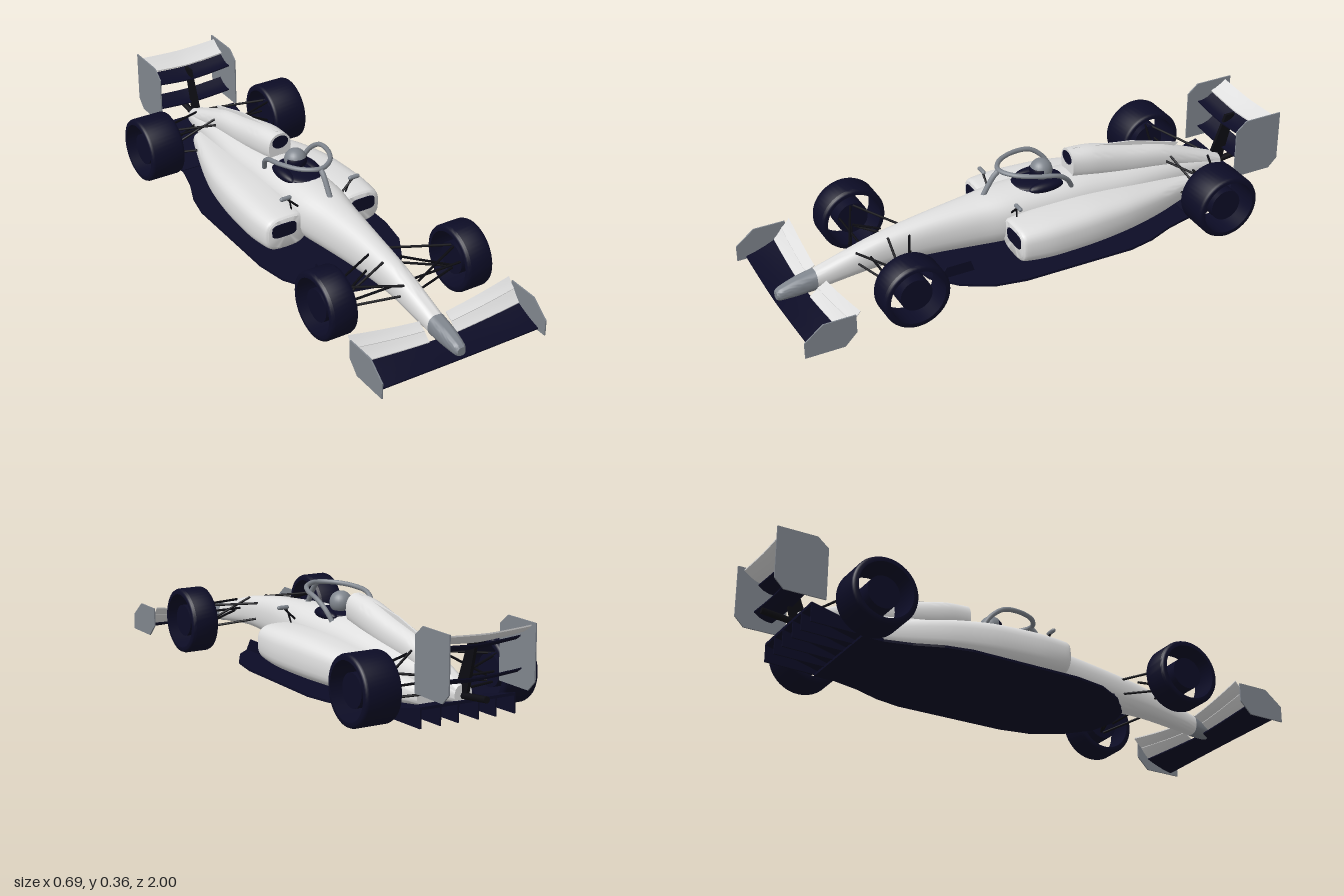
import * as THREE from 'three';
import { toCreasedNormals } from 'three/addons/utils/BufferGeometryUtils.js';

const V = (x, y, z) => new THREE.Vector3(x, y, z);
const mat = (name, color) => new THREE.MeshStandardMaterial({ name, color });

// Skin a list of closed rings, cap both ends and face outward
function skin(rings, crease = 0.6) {
  const n = rings[0].length, pos = [], idx = [];
  const add = (p) => pos.push(p.x, p.y, p.z) / 3 - 1;
  rings.forEach((r) => r.forEach(add));
  for (let i = 0; i < rings.length - 1; i++) for (let j = 0; j < n; j++) {
    const a = i * n + j, b = i * n + (j + 1) % n;
    idx.push(a, b, a + n, b, b + n, a + n);
  }
  [0, rings.length - 1].forEach((i) => {
    const c = add(rings[i].reduce((s, p) => s.add(p), V(0, 0, 0)).divideScalar(n));
    for (let j = 0; j < n; j++) {
      const a = i * n + j, b = i * n + (j + 1) % n;
      i ? idx.push(a, b, c) : idx.push(b, a, c);
    }
  });
  let vol = 0;
  const at = (i) => V(pos[3 * i], pos[3 * i + 1], pos[3 * i + 2]);
  for (let k = 0; k < idx.length; k += 3) vol += at(idx[k]).dot(at(idx[k + 1]).cross(at(idx[k + 2])));
  if (vol < 0) idx.reverse();
  const g = new THREE.BufferGeometry();
  g.setAttribute('position', new THREE.Float32BufferAttribute(pos, 3));
  g.setIndex(idx);
  return toCreasedNormals(g, crease);
}

// Smooth hull through sections [z, centreX, halfWidth, bottomY, topY]
function hull(sections, power = 2.5, steps = 30, sides = 32) {
  const c1 = new THREE.CatmullRomCurve3(sections.map((s) => V(s[0], s[1], s[2])), false, 'catmullrom', 0.4);
  const c2 = new THREE.CatmullRomCurve3(sections.map((s) => V(s[0], s[3], s[4])), false, 'catmullrom', 0.4);
  const se = (v) => Math.sign(v) * Math.abs(v) ** (2 / power);
  const rings = [];
  for (let i = 0; i <= steps; i++) {
    const p = c1.getPoint(i / steps), q = c2.getPoint(i / steps), ring = [];
    for (let j = 0; j < sides; j++) {
      const a = j / sides * Math.PI * 2;
      ring.push(V(p.y + p.z * se(Math.cos(a)), (q.y + q.z) / 2 + (q.z - q.y) / 2 * se(Math.sin(a)), p.x));
    }
    rings.push(ring);
  }
  return skin(rings);
}

// Wing blade from x0 to x1; inner and outer are [frontZ, frontY, rearZ, rearY], blended by |x| / span
function blade(x0, x1, span, inner, outer, sag = 0.004, thick = 0.005) {
  const rings = [];
  for (let i = 0; i <= 12; i++) {
    const x = x0 + (x1 - x0) * i / 12, t = (Math.abs(x) / span) ** 1.4;
    const [fz, fy, rz, ry] = inner.map((v, k) => v + (outer[k] - v) * t);
    const low = [0, 0.33, 0.67, 1].map((u) =>
      V(x, fy + (ry - fy) * u - sag * Math.sin(Math.PI * u), fz + (rz - fz) * u));
    rings.push([...low, ...low.map((p) => V(p.x, p.y + thick, p.z)).reverse()]);
  }
  return skin(rings);
}

// Flat plate with a side outline of [z, y] points, centred on x
function plate(points, width, x) {
  const s = new THREE.Shape(points.map((p) => new THREE.Vector2(...p)));
  return new THREE.ExtrudeGeometry(s, { depth: width, bevelEnabled: false })
    .rotateY(-Math.PI / 2).translate(x + width / 2, 0, 0);
}

function rod(a, b, r = 0.005) {
  const d = b.clone().sub(a);
  return new THREE.CylinderGeometry(r, r, d.length(), 8)
    .applyQuaternion(new THREE.Quaternion().setFromUnitVectors(V(0, 1, 0), d.normalize()))
    .translate((a.x + b.x) / 2, (a.y + b.y) / 2, (a.z + b.z) / 2);
}

export function createModel() {
  const car = new THREE.Group();
  car.name = 'racingCar';
  const white = mat('bodyWhite', 0xdedede), grey = mat('trimGrey', 0x80868e);
  const navy = mat('darkNavy', 0x0c0c26), black = mat('suspensionBlack', 0x0c0c12);
  const add = (name, geo, m) => {
    const mesh = new THREE.Mesh(geo, m);
    mesh.name = name;
    car.add(mesh);
    return mesh;
  };

  // Central body, nose tip and engine cover
  add('body', hull([[0.83, 0, 0.034, 0.05, 0.124], [0.6, 0, 0.045, 0.073, 0.19], [0.4, 0, 0.06, 0.068, 0.222],
    [0.22, 0, 0.083, 0.055, 0.24], [0.1, 0, 0.104, 0.05, 0.249], [-0.1, 0, 0.112, 0.045, 0.25],
    [-0.22, 0, 0.11, 0.045, 0.245], [-0.4, 0, 0.1, 0.045, 0.22], [-0.6, 0, 0.07, 0.045, 0.19],
    [-0.84, 0, 0.035, 0.08, 0.14]], 2.4, 45), white);
  add('noseTip', hull([[0.975, 0, 0.016, 0.048, 0.08], [0.96, 0, 0.023, 0.044, 0.09], [0.9, 0, 0.031, 0.045, 0.11],
    [0.829, 0, 0.035, 0.049, 0.125]], 2.6, 12), grey);
  add('engineCover', hull([[-0.18, 0, 0.047, 0.22, 0.336], [-0.28, 0, 0.055, 0.2, 0.326], [-0.43, 0, 0.052, 0.17, 0.288],
    [-0.58, 0, 0.046, 0.15, 0.252], [-0.72, 0, 0.04, 0.12, 0.195], [-0.84, 0, 0.033, 0.09, 0.145]], 2.3), white);
  add('spineFin', plate([[-0.2, 0.3], [-0.2, 0.337], [-0.45, 0.3], [-0.66, 0.238], [-0.6, 0.2]], 0.006, 0), white);
  add('airIntake', new THREE.CircleGeometry(1, 24).scale(0.034, 0.026, 1).translate(0, 0.302, -0.178), navy);
  add('tailPipe', rod(V(0, 0.105, -0.82), V(0, 0.122, -0.97), 0.012), black);

  // Cockpit opening and driver
  add('cockpit', new THREE.SphereGeometry(1, 32, 16).scale(0.072, 0.016, 0.105).translate(0, 0.243, -0.05), navy);
  add('helmet', new THREE.SphereGeometry(0.042, 24, 18).translate(0, 0.283, -0.07), grey);
  add('visor', new THREE.SphereGeometry(0.0435, 24, 6, 0.25, Math.PI - 0.5, 1.22, 0.72).translate(0, 0.283, -0.07), navy);

  // Halo
  const half = [[0.085, 0.235, -0.15], [0.098, 0.275, -0.125], [0.108, 0.308, -0.08], [0.1, 0.32, -0.01], [0.06, 0.326, 0.07]];
  const arc = [...half, [0, 0.328, 0.105], ...half.slice().reverse().map(([x, y, z]) => [-x, y, z])].map((p) => V(...p));
  add('haloRing', new THREE.TubeGeometry(new THREE.CatmullRomCurve3(arc), 60, 0.009, 10), grey);
  const pillar = new THREE.CatmullRomCurve3([V(0, 0.328, 0.1), V(0, 0.305, 0.125), V(0, 0.235, 0.17)]);
  add('haloPillar', new THREE.TubeGeometry(pillar, 16, 0.01, 10), grey);

  // Floor and diffuser
  const edge = [[0.1, 0.435], [0.19, 0.355], [0.25, 0.25], [0.272, 0.13], [0.275, -0.3], [0.255, -0.4], [0.215, -0.5], [0.19, -0.6], [0.19, -0.68]];
  const floor = new THREE.Shape([[0, 0.46], ...edge, ...edge.slice().reverse().map(([x, z]) => [-x, z])]
    .map((p) => new THREE.Vector2(...p)));
  add('floor', new THREE.ExtrudeGeometry(floor, { depth: 0.009, bevelEnabled: false }).rotateX(Math.PI / 2).translate(0, 0.027, 0), navy);
  add('diffuserRoof', plate([[-0.6, 0.02], [-0.6, 0.03], [-0.75, 0.07], [-0.87, 0.1], [-0.87, 0.09], [-0.75, 0.06]], 0.38, 0), navy);
  for (const x of [-0.187, -0.11, -0.04, 0.04, 0.11, 0.187])
    add('diffuserFin', plate([[-0.62, 0.022], [-0.62, 0.035], [-0.87, 0.1], [-0.87, 0.028]], 0.006, x), navy);

  // Front wing main plane
  add('frontWingMain', blade(-0.33, 0.33, 0.33, [0.98, 0.037, 0.868, 0.052], [0.966, 0.026, 0.857, 0.064]), navy);

  // Rear wing main plane, flap, beam wing and pylon
  add('rearWingMain', blade(-0.166, 0.166, 0.166, [-0.855, 0.266, -0.92, 0.292], [-0.855, 0.28, -0.92, 0.302], 0.008), navy);
  add('rearWingFlap', blade(-0.166, 0.166, 0.166, [-0.915, 0.3, -0.976, 0.338], [-0.915, 0.312, -0.976, 0.346]), white);
  add('beamWing', blade(-0.166, 0.166, 0.166, [-0.86, 0.16, -0.93, 0.185], [-0.86, 0.17, -0.93, 0.195], 0.008), navy);
  add('rearWingPylon', plate([[-0.8, 0.12], [-0.87, 0.3], [-0.91, 0.3], [-0.86, 0.1]], 0.012, 0), black);

  // Tyre as an open ring with rounded shoulders, plus a hub
  const wheel = (name, x, z, w) => {
    const h = w / 2, R = 0.124, r = 0.103;
    const ring = [[r, -h], [R - 0.01, -h], [R - 0.003, -h + 0.004], [R, -h + 0.012], [R, h - 0.012],
      [R - 0.003, h - 0.004], [R - 0.01, h], [r, h], [r, -h]].map((p) => new THREE.Vector2(...p));
    const tyre = toCreasedNormals(new THREE.LatheGeometry(ring, 48), 0.7);
    add(name + 'Tyre', tyre.rotateZ(Math.PI / 2).translate(x, 0.129, z), navy);
    add(name + 'Hub', new THREE.CylinderGeometry(0.06, 0.06, w * 0.7, 32).rotateZ(Math.PI / 2).translate(x, 0.129, z), navy);
  };

  for (const s of [-1, 1]) {
    const side = s > 0 ? 'left' : 'right';

    // Sidepod with inlet and fence
    add(side + 'Sidepod', hull([[0.127, 0.155 * s, 0.077, 0.068, 0.182], [0.11, 0.155 * s, 0.088, 0.055, 0.19],
      [0, 0.15 * s, 0.1, 0.043, 0.196], [-0.18, 0.135 * s, 0.104, 0.038, 0.194], [-0.34, 0.115 * s, 0.096, 0.036, 0.178],
      [-0.5, 0.085 * s, 0.077, 0.035, 0.152], [-0.7, 0.05 * s, 0.038, 0.05, 0.115]], 3), white);
    const inlet = hull([[0.131, 0.168 * s, 0.05, 0.112, 0.165], [0.124, 0.168 * s, 0.05, 0.112, 0.165]], 4, 1);
    add(side + 'Inlet', inlet, navy);
    add(side + 'Fence', plate([[0.41, 0.024], [0.38, 0.07], [0.285, 0.07], [0.27, 0.024]], 0.006, 0.13 * s), navy);
    add(side + 'CockpitPad', new THREE.SphereGeometry(1, 20, 14).scale(0.024, 0.02, 0.07).translate(0.058 * s, 0.243, -0.06), navy);

    // Mirror
    add(side + 'Mirror', new THREE.CapsuleGeometry(0.008, 0.032, 4, 10).rotateZ(Math.PI / 2).translate(0.145 * s, 0.247, 0.1), grey);
    add(side + 'MirrorStay', rod(V(0.14 * s, 0.243, 0.1), V(0.09 * s, 0.195, 0.1), 0.004), black);
    add(side + 'MirrorBrace', rod(V(0.13 * s, 0.243, 0.1), V(0.115 * s, 0.185, 0.09), 0.003), black);

    // Front wing flaps and end plate
    add(side + 'LowerFlap', blade(0.055 * s, 0.328 * s, 0.33, [0.872, 0.055, 0.842, 0.078], [0.857, 0.068, 0.825, 0.106], 0.002, 0.004), white);
    add(side + 'UpperFlap', blade(0.055 * s, 0.328 * s, 0.33, [0.842, 0.08, 0.808, 0.098], [0.825, 0.108, 0.793, 0.14], 0.002, 0.004), white);
    add(side + 'FrontEndPlate', plate([[1, 0.02], [1, 0.08], [0.93, 0.135], [0.81, 0.135], [0.81, 0.065], [0.855, 0.02]], 0.005, 0.33 * s), grey);

    // Rear wing end plate
    add(side + 'RearEndPlate', plate([[-0.808, 0.13], [-0.808, 0.325], [-0.85, 0.36], [-1, 0.36], [-1, 0.165], [-0.965, 0.13]], 0.005, 0.168 * s), grey);

    // Wheels
    wheel(side + 'Front', 0.278 * s, 0.58, 0.106);
    wheel(side + 'Rear', 0.274 * s, -0.671, 0.14);

    // Suspension arms: [inner point, outer point]
    const arms = [
      [[0.04, 0.185, 0.48], [0.245, 0.18, 0.575]], [[0.03, 0.165, 0.68], [0.245, 0.18, 0.585]],
      [[0.045, 0.125, 0.48], [0.245, 0.092, 0.575]], [[0.03, 0.125, 0.68], [0.245, 0.092, 0.585]],
      [[0.035, 0.14, 0.63], [0.245, 0.14, 0.63]], [[0.035, 0.195, 0.56], [0.24, 0.1, 0.58]],
      [[0.05, 0.2, -0.58], [0.25, 0.185, -0.67]], [[0.03, 0.16, -0.78], [0.25, 0.185, -0.68]],
      [[0.05, 0.1, -0.57], [0.25, 0.09, -0.67]], [[0.03, 0.11, -0.78], [0.25, 0.09, -0.68]],
      [[0.035, 0.13, -0.7], [0.25, 0.13, -0.7]], [[0.045, 0.215, -0.6], [0.24, 0.1, -0.66]],
    ];
    for (const [[x, y, z], [u, v, w]] of arms) add(side + 'SuspensionArm', rod(V(x * s, y, z), V(u * s, v, w), 0.0045), black);
  }
  return car;
}
